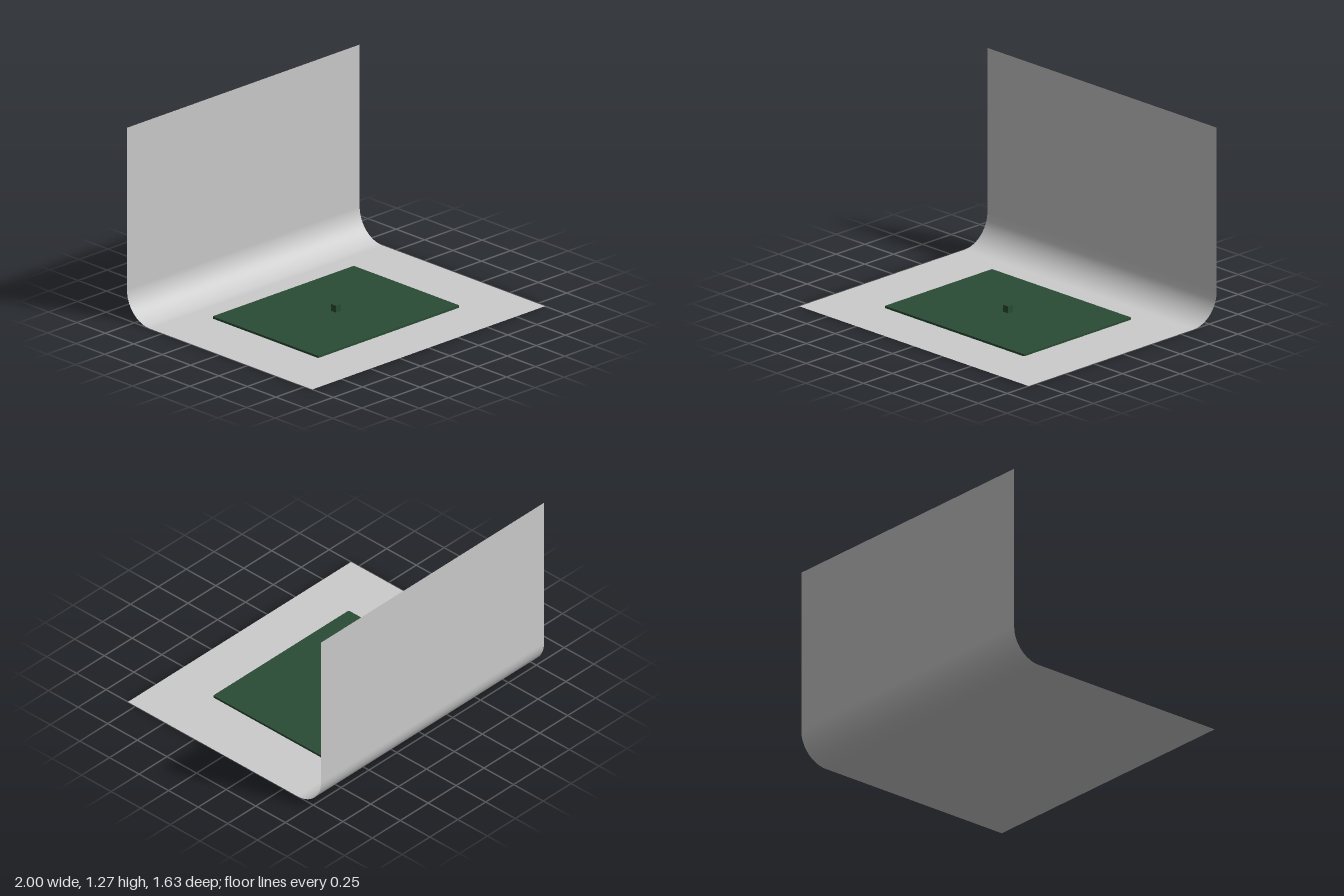
import * as THREE from 'three';

const W = 2, FRONT = 0.815, BACK = -0.815, TOP = 1.27, R = 0.2;

// Side profile: floor, quarter-round bend, wall; each row is [z, y, normalZ, normalY]
function sweepGeometry() {
  const rows = [[FRONT, 0, 0, 1]];
  const steps = 24;
  for (let i = 0; i <= steps; i++) {
    const a = (i / steps) * Math.PI / 2;
    rows.push([BACK + R - R * Math.sin(a), R - R * Math.cos(a), Math.sin(a), Math.cos(a)]);
  }
  rows.push([TOP, TOP, 1, 0]);
  rows[rows.length - 1][0] = BACK;

  const pos = [], nor = [], idx = [];
  rows.forEach(([z, y, nz, ny], i) => {
    for (const x of [-W / 2, W / 2]) {
      pos.push(x, y, z);
      nor.push(0, ny, nz);
    }
    if (i > 0) {
      const a = 2 * (i - 1);
      idx.push(a, a + 1, a + 3, a, a + 3, a + 2);
    }
  });
  const geo = new THREE.BufferGeometry();
  geo.setAttribute('position', new THREE.Float32BufferAttribute(pos, 3));
  geo.setAttribute('normal', new THREE.Float32BufferAttribute(nor, 3));
  geo.setIndex(idx);
  return geo;
}

// Flat slab with slightly rounded corners, lying on the floor
function slabGeometry(w, d, h, r) {
  const x = w / 2 - r, y = d / 2 - r;
  const s = new THREE.Shape();
  s.absarc(x, y, r, 0, Math.PI / 2);
  s.absarc(-x, y, r, Math.PI / 2, Math.PI);
  s.absarc(-x, -y, r, Math.PI, Math.PI * 1.5);
  s.absarc(x, -y, r, Math.PI * 1.5, Math.PI * 2);
  const geo = new THREE.ExtrudeGeometry(s, { depth: h, bevelEnabled: false, curveSegments: 4 });
  return geo.rotateX(-Math.PI / 2);
}

export function createModel() {
  const backdropGrey = new THREE.MeshStandardMaterial({ color: 0xcccccc, side: THREE.DoubleSide });
  backdropGrey.name = 'backdropGrey';
  const matGreen = new THREE.MeshStandardMaterial({ color: 0x2a4c35 });
  matGreen.name = 'matGreen';

  const model = new THREE.Group();
  model.name = 'backdropWithMat';
  const add = (name, geo, material, y = 0) => {
    const mesh = new THREE.Mesh(geo, material);
    mesh.name = name;
    mesh.position.y = y;
    model.add(mesh);
  };

  add('curvedBackdrop', sweepGeometry(), backdropGrey);
  add('mat', slabGeometry(1.215, 0.93, 0.014, 0.008), matGreen, 0.001);
  add('smallBlock', new THREE.BoxGeometry(0.042, 0.046, 0.042), matGreen, 0.037);
  return model;
}
